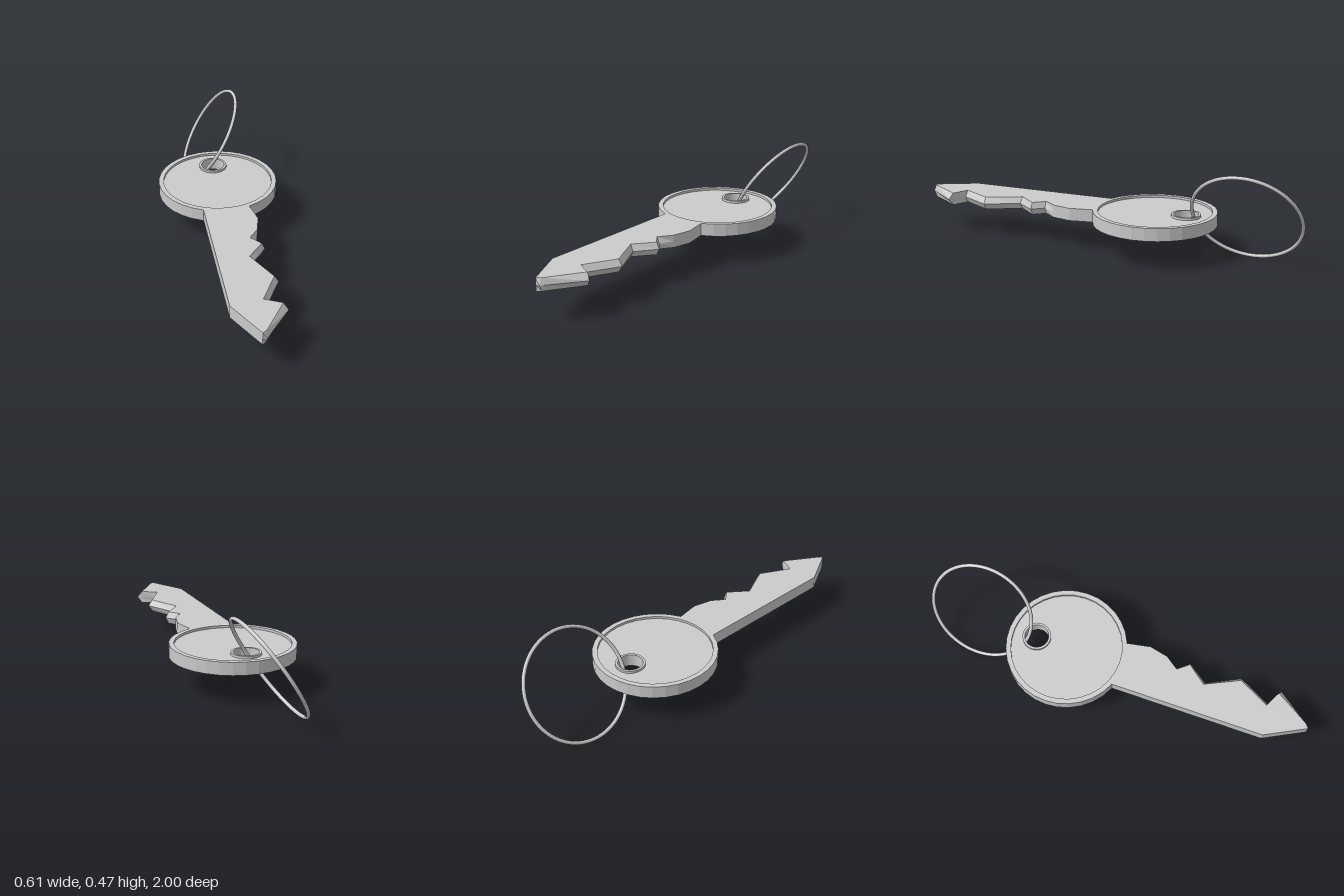
import * as THREE from 'three';

const BOTTOM = 0.153, TOP = 0.216, MID = (BOTTOM + TOP) / 2;
const HEAD_Z = -0.26, HEAD_R = 0.305, RIM_R = 0.28, HOLE_R = 0.06, HOLE_OFFSET = 0.16;
const RECESS = 0.012;

const material = new THREE.MeshStandardMaterial({ color: 0xcccccc, flatShading: true });
const smooth = new THREE.MeshStandardMaterial({ color: 0xcccccc });

// Flat-lying disc with one round hole, from height y0 to y1
function disc(name, radius, offset, holeRadius, holeOffset, y0, y1) {
  const shape = new THREE.Shape().absarc(0, offset, radius, 0, Math.PI * 2);
  shape.holes.push(new THREE.Path().absarc(0, holeOffset, holeRadius, 0, Math.PI * 2, true));
  const geometry = new THREE.ExtrudeGeometry(shape, { depth: y1 - y0, bevelEnabled: false, curveSegments: 16 });
  geometry.rotateX(-Math.PI / 2).translate(0, y0, HEAD_Z);
  const mesh = new THREE.Mesh(geometry, material);
  mesh.name = name;
  return mesh;
}

// Solid stacked from matching outlines; each layer is { y, points } with points as [x, z]
function layeredSolid(layers) {
  const n = layers[0].points.length;
  const positions = layers.flatMap(({ y, points }) => points.flatMap(([x, z]) => [x, y, z]));
  const index = [];
  const last = (layers.length - 1) * n;
  const outline = layers[0].points.map(([x, z]) => new THREE.Vector2(x, z));
  for (const [a, b, c] of THREE.ShapeUtils.triangulateShape(outline, [])) {
    index.push(a, b, c, last + a, last + c, last + b);
  }
  for (let k = 0; k < last; k += n) {
    for (let i = 0; i < n; i++) {
      const j = (i + 1) % n;
      index.push(k + i, k + n + i, k + n + j, k + i, k + n + j, k + j);
    }
  }
  const geometry = new THREE.BufferGeometry();
  geometry.setAttribute('position', new THREE.Float32BufferAttribute(positions, 3));
  geometry.setIndex(index);
  const flat = geometry.toNonIndexed();
  flat.computeVertexNormals();
  return flat;
}

function createBlade() {
  // Cut edge as [x, z] on the faces, then [x, z] on the protruding middle ridge
  const cuts = [
    [0.115, 0.01, 0.115, 0.01],
    [0.115, 0.022, 0.115, 0.022],
    [0.137, 0.14, 0.137, 0.14],
    [0.115, 0.235, 0.115, 0.235],
    [0.068, 0.30, 0.082, 0.30],
    [0.113, 0.355, 0.129, 0.355],
    [0.037, 0.45, 0.055, 0.455],
    [0.118, 0.62, 0.139, 0.62],
    [0.037, 0.775, 0.054, 0.78],
    [0.117, 0.815, 0.139, 0.828],
    [0.01, 0.985, 0.01, 1],
  ];
  // Tip, straight back edge and the arc that meets the head rim
  const rest = [[-0.01, 1], [-0.115, 0.80], [-0.115, 0.01]];
  for (let i = 1; i < 8; i++) {
    const x = -0.115 + 0.23 * i / 8;
    rest.push([x, HEAD_Z + Math.sqrt(0.293 ** 2 - x * x)]);
  }
  const face = [...cuts.map(c => [c[0], c[1]]), ...rest];
  const ridge = [...cuts.map(c => [c[2], c[3]]), ...rest];
  const blade = new THREE.Mesh(layeredSolid([
    { y: BOTTOM, points: face },
    { y: MID, points: ridge },
    { y: TOP, points: face },
  ]), material);
  blade.name = 'blade';
  return blade;
}

export function createModel() {
  const model = new THREE.Group();
  model.name = 'keyWithRing';

  // Head: raised rim around a recessed plate, with a collar around the hole
  const head = new THREE.Group();
  head.name = 'head';
  head.add(
    disc('headRim', HEAD_R, 0, RIM_R, 0, BOTTOM, TOP),
    disc('headPlate', RIM_R + 0.005, 0, HOLE_R, HOLE_OFFSET, BOTTOM + RECESS, TOP - RECESS),
    disc('holeCollar', HOLE_R + 0.012, HOLE_OFFSET, HOLE_R, HOLE_OFFSET, BOTTOM, TOP),
  );
  model.add(head, createBlade());

  // Split ring, leaning sideways through the hole
  const ring = new THREE.Mesh(new THREE.TorusGeometry(0.266, 0.009, 12, 64), smooth);
  ring.name = 'keyRing';
  ring.rotation.set(0, Math.PI / 2, -0.56, 'ZYX');
  ring.position.set(0.025, 0.236, -0.725);
  model.add(ring);

  return model;
}
